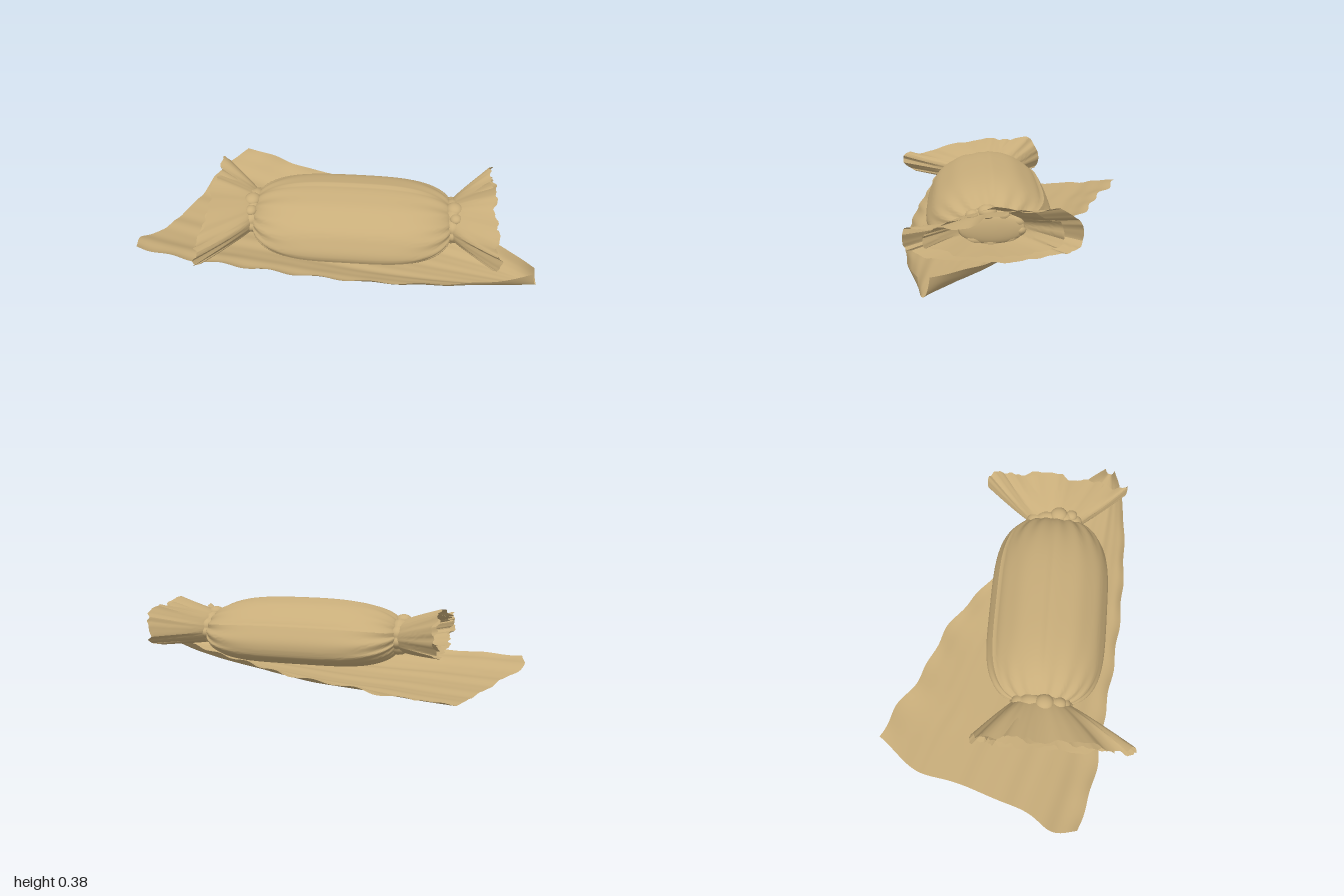
import * as THREE from 'three';
import { toCreasedNormals } from 'three/addons/utils/BufferGeometryUtils.js';

const husk = new THREE.MeshStandardMaterial({ color: 0xc8ad7a, side: THREE.DoubleSide });
husk.name = 'dryHusk';

// Surface from a grid of points; the rows can close into rings.
function sheet(nu, nv, point, closed, crease) {
  const pos = [], idx = [];
  const cols = closed ? nv : nv + 1;
  for (let i = 0; i <= nu; i++)
    for (let j = 0; j < cols; j++) pos.push(...point(i / nu, j / nv));
  for (let i = 0; i < nu; i++)
    for (let j = 0; j < nv; j++) {
      const k = (j + 1) % cols;
      const a = i * cols + j, b = i * cols + k, c = a + cols, d = b + cols;
      idx.push(a, b, c, b, d, c);
    }
  const g = new THREE.BufferGeometry();
  g.setAttribute('position', new THREE.Float32BufferAttribute(pos, 3));
  g.setIndex(idx);
  g.computeVertexNormals();
  return crease ? toCreasedNormals(g, crease) : g;
}

function mesh(geometry, name, parent) {
  const m = new THREE.Mesh(geometry, husk);
  m.name = name;
  parent.add(m);
  return m;
}

// Edge curve on the ground plane from [x, z] pairs.
const edge = (pts) => new THREE.CatmullRomCurve3(pts.map(([x, z]) => new THREE.Vector3(x, 0, z)));
const bump = (t, centre, width) => Math.exp(-(((t - centre) / width) ** 2));
const signedPow = (v, p) => Math.sign(v) * Math.abs(v) ** p;

// Open husk leaf: a shallow trough narrowing to a curled tip.
function leafGeometry() {
  const back = edge([[-0.79, -0.62], [-0.62, -0.59], [-0.45, -0.53], [-0.15, -0.48], [0.18, -0.34],
    [0.5, -0.22], [0.75, -0.1], [0.9, 0.01], [0.98, 0.08]]);
  const front = edge([[-0.94, 0.45], [-0.7, 0.465], [-0.45, 0.44], [-0.1, 0.41], [0.2, 0.37],
    [0.5, 0.31], [0.75, 0.24], [0.9, 0.18], [0.98, 0.13]]);
  return sheet(90, 60, (s, t) => {
    const p = back.getPointAt(s).lerp(front.getPointAt(s), t);
    const bulge = Math.sin(Math.PI * t);
    const outline = 0.045 * bulge + 0.055 * bump(t, 0.2, 0.15) + 0.06 * bump(t, 0.9, 0.1);
    const x = p.x - (1 - s) ** 6 * outline + s ** 30 * 0.02 * bulge;
    const side = Math.abs(2 * t - 1);
    const base = 0.005 + 0.01 * x * x + 0.035 * Math.max(0, x) ** 3;
    const wide = 1 - s ** 4;
    const ribs = 0.006 * wide * (Math.sin(t * 31 + x * 1.5) + 0.5 * Math.sin(t * 57)) * (0.4 + 0.6 * side);
    const ripple = 0.008 * side ** 8 * Math.sin(s * 50 + t * 3) * wide;
    return [x, Math.max(0, base + 0.08 * side ** 2.7 + ribs + ripple * 0.5),
      p.z + ripple * (t < 0.5 ? 1 : -0.7)];
  }, false);
}

// Wrapped body: a roll sagging onto the leaf, widest low down,
// with overlapping layers and pinched ends.
const seams = [0, 0.29, 0.55, 0.84, 1];
function bodyGeometry() {
  return sheet(64, 144, (s, t) => {
    const c = -1.03 * Math.cos(Math.PI * s);
    const e = Math.min(1, Math.abs(c));
    const full = Math.pow(1 - e ** 4, 0.62);
    const a = t * Math.PI * 2;
    const i = seams.findIndex((v) => v > t) - 1;
    const lap = (t - seams[i]) / (seams[i + 1] - seams[i]);
    const pleat = Math.sin(a * 17) * 0.05 * e ** 5 + Math.sin(a * 13 + 1) * 0.006;
    const k = (0.975 + 0.04 * lap * full + pleat) * (Math.abs(c) > 1.01 ? 0 : 1);
    const w = (0.13 + 0.172 * full) * k;
    const up = Math.cos(a) > 0;
    const h = (0.065 + (up ? 0.165 : 0.04) * full) * k * (up ? 1 - 0.08 * e * e : 1);
    return [c * 0.495, 0.2 - 0.055 * full + h * Math.cos(a), w * Math.sin(a)];
  }, true, 0.7);
}

// Ragged, crumpled fan flaring from a tied neck, drawn along +x.
// The rim is boxy; its upper rear corner (by the sign of "rear") lifts.
function fanGeometry(scale, reachPos, reachNeg, seed, rear) {
  return sheet(14, 120, (v, t) => {
    const a = t * Math.PI * 2;
    const sn = Math.sin(a), cs = Math.cos(a);
    const reach = (sn > 0 ? reachPos : reachNeg) * scale;
    const fold = Math.sin(a * 5 + seed) * 0.6 + Math.sin(a * 9 + seed * 2.3) * 0.4;
    const jag = Math.sin(a * 7 + seed * 3) * 0.5 + Math.sin(a * 17 + seed) * 0.3 + Math.sin(a * 31) * 0.2;
    const w = 0.125 + (reach - 0.125) * v ** 0.9;
    const h = 0.065 + (0.11 * scale - 0.065) * Math.sqrt(v);
    const lift = 0.012 * fold + 0.06 * sn * rear * Math.max(0, cs);
    return [0.49 + (0.215 + 0.022 * jag) * v,
      0.2 + 0.025 * v + h * signedPow(cs, 1 - 0.3 * v) * (1 + 0.1 * fold * v) + lift * v,
      w * signedPow(sn, 1.1) + 0.02 * fold * v * cs];
  }, true, 0.6);
}

// Knotted strip around a neck, built from uneven beads, with the gathered husk inside.
function buildTie(parent, x, knotZ) {
  const tie = new THREE.Group();
  tie.name = 'tie';
  parent.add(tie);
  mesh(sheet(120, 12, (s, t) => {
    const a = s * Math.PI * 2, b = t * Math.PI * 2;
    const r = 0.018 + 0.009 * Math.abs(Math.sin(a * 4.5)) + 0.003 * Math.sin(a * 3);
    const out = r * Math.cos(b);
    return [x + 1.2 * r * Math.sin(b), 0.2 + (0.066 + out) * Math.cos(a), (0.13 + out) * Math.sin(a)];
  }, true), 'tieBand', tie);
  const ball = new THREE.SphereGeometry(1, 20, 14);
  const blob = (name, position, scale) => {
    const m = mesh(ball, name, tie);
    m.position.set(...position);
    m.scale.set(...scale);
  };
  blob('knot', [x + 0.008, 0.275, knotZ], [0.042, 0.032, 0.045]);
  blob('knotLoop', [x + 0.014, 0.262, knotZ + 0.065], [0.03, 0.024, 0.032]);
  blob('knotLoop', [x + 0.004, 0.258, knotZ - 0.07], [0.03, 0.024, 0.035]);
  blob('gatheredNeck', [x + 0.02, 0.2, 0], [0.02, 0.07, 0.15]);
}

export function createModel() {
  const model = new THREE.Group();
  model.name = 'huskWrappedRoll';
  mesh(leafGeometry(), 'openHuskLeaf', model);

  // Wrapped roll, turned slightly on the leaf.
  const roll = new THREE.Group();
  roll.name = 'wrappedRoll';
  roll.position.set(0.05, 0, 0.01);
  roll.rotation.y = THREE.MathUtils.degToRad(12);
  model.add(roll);
  mesh(bodyGeometry(), 'wrappedBody', roll);

  // Both ends: outer fan, inner layer and tie.
  [[1, 0.38, 0.38, 1.1, 0.02], [-1, 0.33, 0.475, 2.7, -0.02]].forEach(([side, pos, neg, seed, knotZ]) => {
    const end = new THREE.Group();
    end.name = side > 0 ? 'leftEnd' : 'rightEnd';
    end.rotation.y = side > 0 ? 0 : Math.PI;
    roll.add(end);
    mesh(fanGeometry(1, pos, neg, seed, -side), 'outerFan', end);
    mesh(fanGeometry(0.78, pos, neg, seed + 1.7, -side), 'innerFan', end);
    buildTie(end, 0.5, knotZ);
  });
  return model;
}
